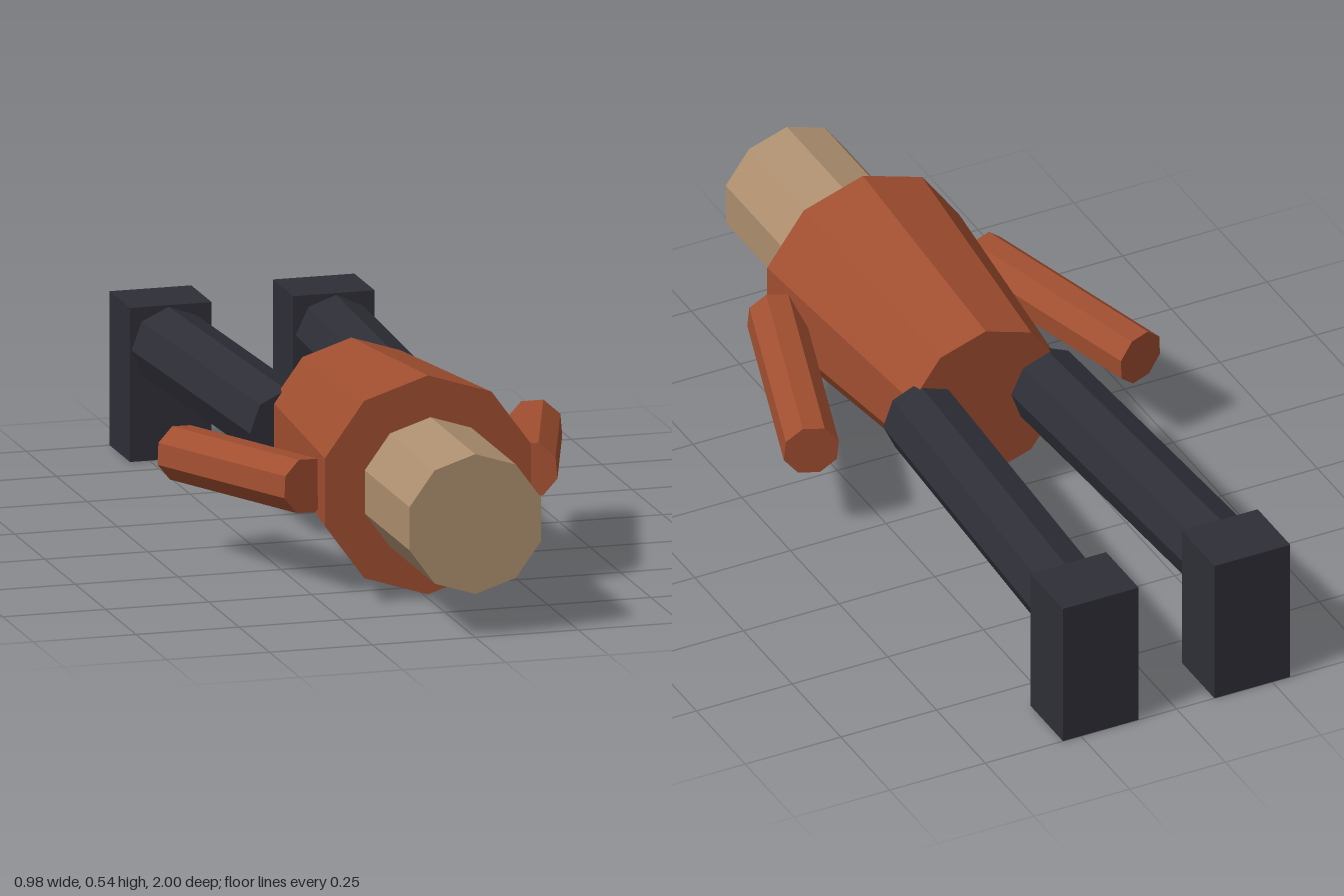
import * as THREE from 'three';

export function createModel() {
  const group = new THREE.Group();
  const mat = (name, color) => {
    const m = new THREE.MeshStandardMaterial({ color, flatShading: true });
    m.name = name;
    return m;
  };
  const rust = mat('rust', 0xa04e30);
  const tan = mat('tan', 0xac8e6e);
  const charcoal = mat('charcoal', 0x2e2e37);
  const midY = 0.272;

  const add = (name, geometry, material) => {
    const mesh = new THREE.Mesh(geometry, material);
    mesh.name = name;
    group.add(mesh);
    return mesh;
  };

  // Faceted cylinder running between two points
  const limb = (name, from, to, rTo, rFrom, sides, material) => {
    const a = new THREE.Vector3(...from), b = new THREE.Vector3(...to);
    const dir = b.clone().sub(a);
    const mesh = add(name, new THREE.CylinderGeometry(rTo, rFrom, dir.length(), sides), material);
    mesh.position.copy(a).add(b).multiplyScalar(0.5);
    mesh.quaternion.setFromUnitVectors(new THREE.Vector3(0, 1, 0), dir.normalize());
  };

  // Lying body: tapered torso with the head in front of it
  limb('torso', [0, midY, -0.02], [0, midY, 0.61], 0.263, 0.202, 10, rust);
  limb('head', [0, midY, 0.632], [0, midY, 1], 0.168, 0.168, 10, tan);

  // Paired arms, legs and block feet
  for (const [side, s] of [['left', 1], ['right', -1]]) {
    limb(side + 'Arm', [s * 0.27, 0.27, 0.532], [s * 0.43, 0.241, 0.03], 0.068, 0.068, 8, rust);
    limb(side + 'Leg', [s * 0.16, midY, 0.003], [s * 0.2, midY, -0.85], 0.094, 0.094, 8, charcoal);
    add(side + 'Foot', new THREE.BoxGeometry(0.198, 0.37, 0.167), charcoal)
      .position.set(s * 0.198, 0.185, -0.9165);
  }
  return group;
}
